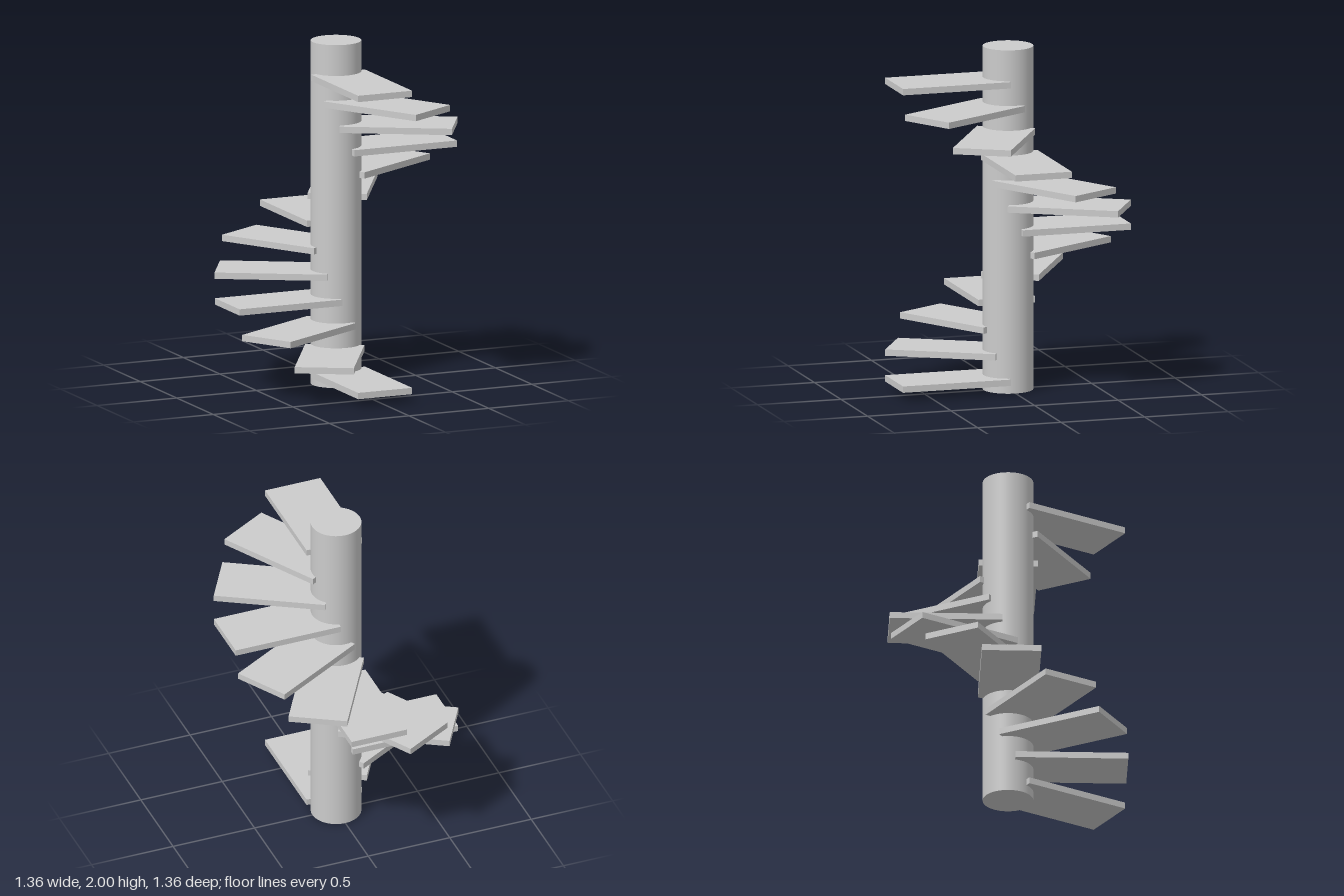
import * as THREE from 'three';

const STEPS = 13, RISE = 0.1444, FIRST_Y = 0.069;

export function createModel() {
  const model = new THREE.Group();
  model.name = 'spiralStaircase';
  const material = new THREE.MeshStandardMaterial({ color: 0xcccccc });

  // Central column
  const column = new THREE.Mesh(new THREE.CylinderGeometry(0.145, 0.145, 2, 64), material);
  column.name = 'column';
  column.position.y = 1;
  model.add(column);

  // Tread: a slab set slightly off the radial line, its inner end sunk in the column
  const treadGeometry = new THREE.BoxGeometry(0.339, 0.037, 0.645);
  treadGeometry.translate(-0.0035, 0, 0.3585);

  // Treads climb from the front towards the model's right, 30 degrees apiece
  for (let i = 0; i < STEPS; i++) {
    const tread = new THREE.Mesh(treadGeometry, material);
    tread.name = `tread${i + 1}`;
    tread.position.y = FIRST_Y + i * RISE;
    tread.rotation.y = -i * Math.PI / 6;
    model.add(tread);
  }
  return model;
}
